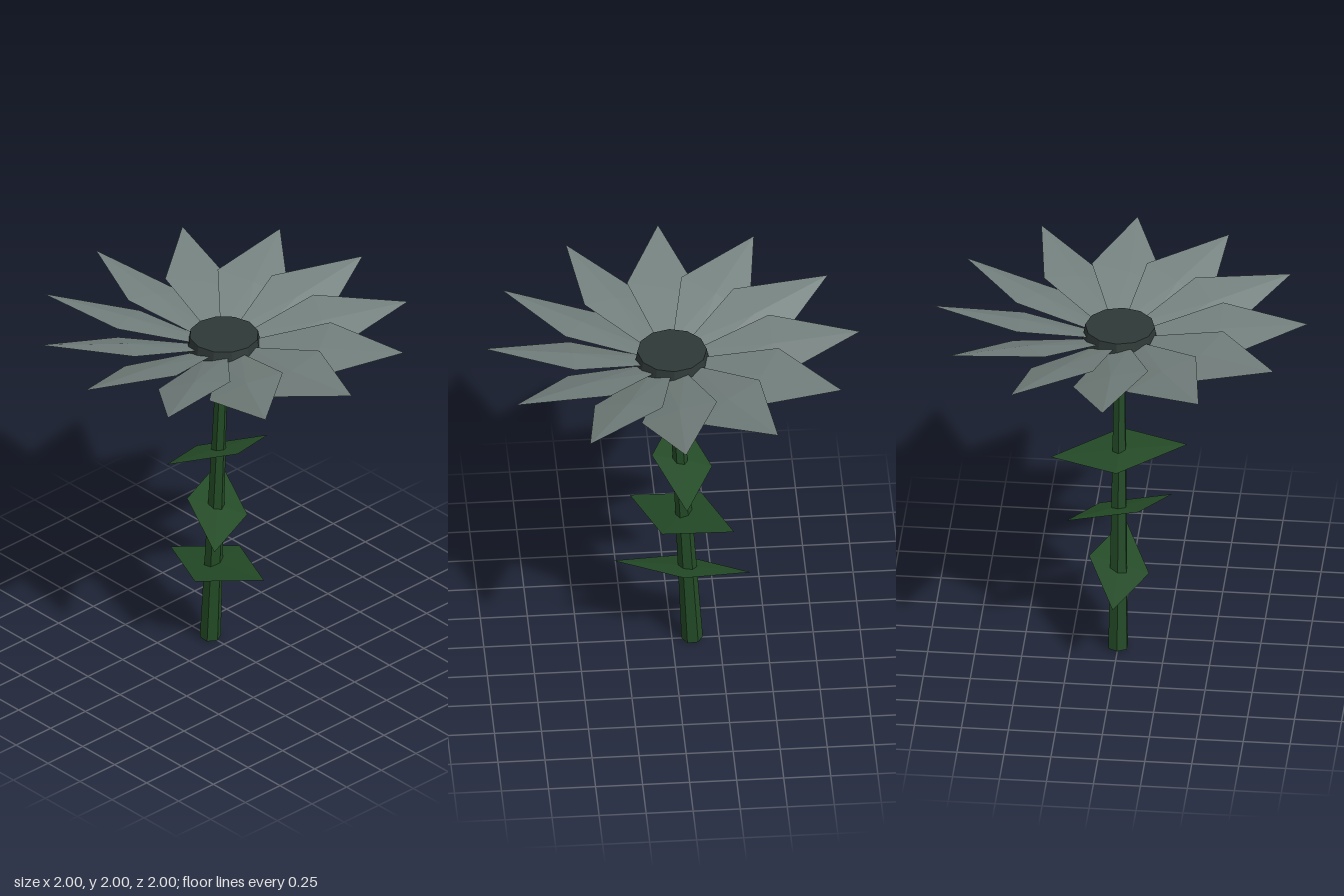
import * as THREE from 'three';

// Flat-faceted sheet from corner points and triangles
function facets(points, faces) {
  const g = new THREE.BufferGeometry();
  g.setAttribute('position', new THREE.Float32BufferAttribute(faces.flat().flatMap(i => points[i]), 3));
  g.computeVertexNormals();
  return g;
}

export function createModel() {
  const model = new THREE.Group();
  const material = (name, color, side = THREE.FrontSide) =>
    new THREE.MeshStandardMaterial({ name, color, side, flatShading: true });
  const petalGrey = material('petal grey', 0x73807d, THREE.DoubleSide);
  const discGrey = material('dark disc grey', 0x2e3836);
  const green = material('stem green', 0x234a26, THREE.DoubleSide);

  const add = (name, geometry, mat, parent = model) => {
    const mesh = new THREE.Mesh(geometry, mat);
    mesh.name = name;
    parent.add(mesh);
    return mesh;
  };

  // Leaning six-sided stem
  const bottom = new THREE.Vector3(-0.107, 0.004, 0);
  const top = new THREE.Vector3(-0.008, 1.855, 0);
  const axis = top.clone().sub(bottom);
  const stemGeometry = new THREE.CylinderGeometry(0.03, 0.057, axis.length(), 6);
  stemGeometry.rotateY(Math.PI / 6);
  const stem = add('stem', stemGeometry, green);
  stem.position.copy(bottom).add(top).multiplyScalar(0.5);
  stem.rotation.z = -Math.atan2(axis.x, axis.y);

  // Twisted diamond leaves, each turned 135 degrees from the last
  const leafGeometry = facets(
    [[0.365, 0.06, 0], [0, 0.046, -0.16], [-0.365, -0.06, 0], [0, -0.046, 0.16], [0, 0.01, 0]],
    [[0, 1, 4], [1, 2, 4], [2, 3, 4], [3, 0, 4]]
  );
  [0.48, 0.835, 1.188].forEach((y, i) => {
    const leaf = add('leaf', leafGeometry, green);
    leaf.position.set(-0.053, y, 0);
    leaf.rotation.y = i * Math.PI * 0.75;
  });

  // Ring of twelve petals, each with one raised side overlapping the next
  const petalGeometry = facets(
    [[1, 2, 0], [0.53, 1.985, -0.2], [0.53, 1.945, 0], [0.53, 1.865, 0.2],
      [0.13, 1.885, -0.06], [0.13, 1.852, 0.06]],
    [[0, 1, 2], [0, 2, 3], [2, 1, 4], [2, 4, 5], [2, 5, 3]]
  );
  const petals = new THREE.Group();
  petals.name = 'petals';
  model.add(petals);
  for (let i = 0; i < 12; i++) {
    add('petal', petalGeometry, petalGrey, petals).rotation.y = (i * Math.PI) / 6;
  }

  // Slightly tapered flower centre
  const disc = add('flowerCentre', new THREE.CylinderGeometry(0.185, 0.2, 0.085, 12), discGrey);
  disc.position.y = 1.8885;

  return model;
}
